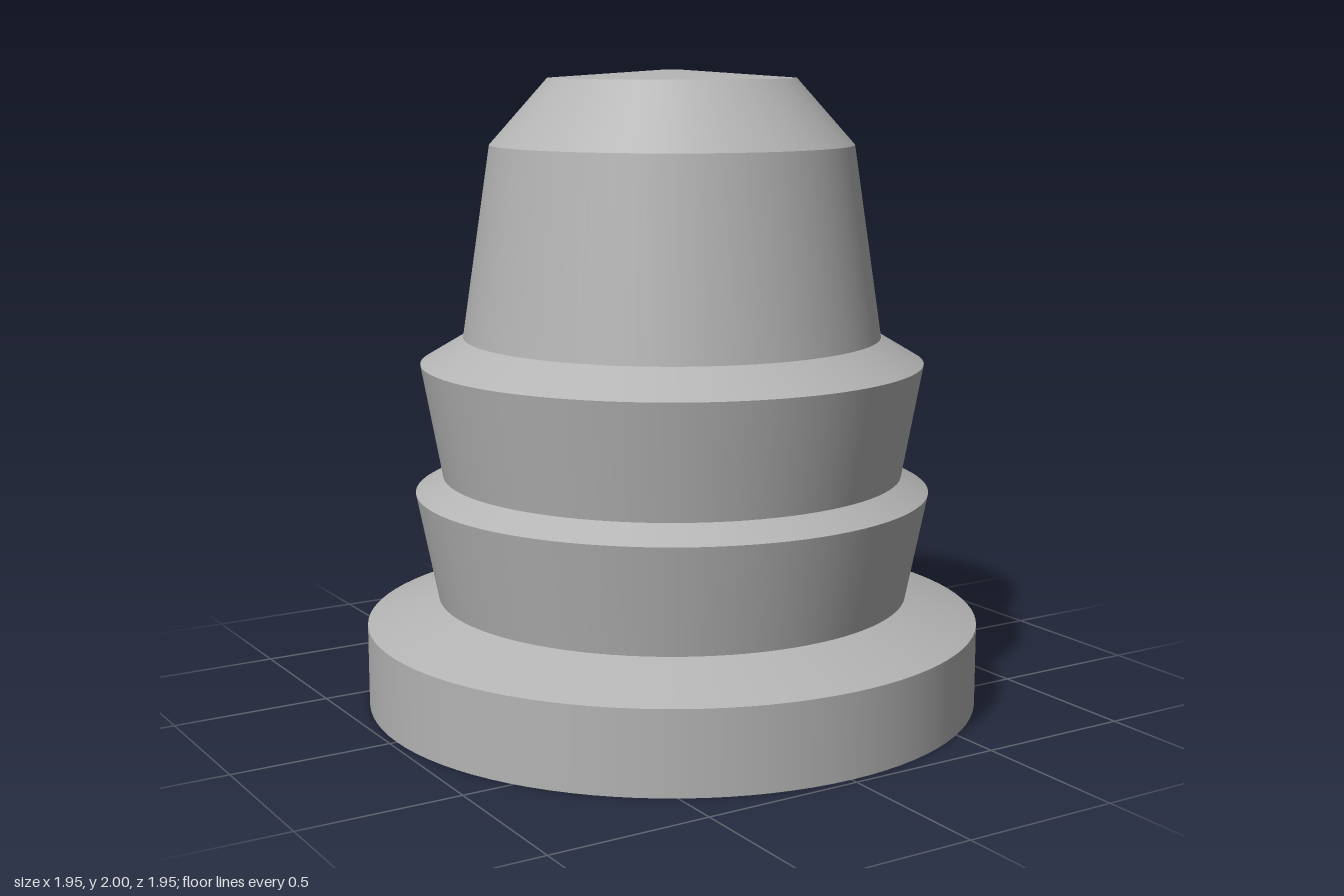
import * as THREE from 'three';
import { mergeGeometries } from 'three/addons/utils/BufferGeometryUtils.js';

const SIDES = 96;
const BORE = 0.025;

// Revolves each straight run of a [radius, height] profile on its own, so corners stay crisp
function turned(profile) {
  const bands = [];
  for (let i = 0; i < profile.length - 1; i++) {
    const ends = [profile[i], profile[i + 1]].map(([r, y]) => new THREE.Vector2(r, y));
    bands.push(new THREE.LatheGeometry(ends, SIDES));
  }
  return mergeGeometries(bands);
}

export function createModel() {
  const model = new THREE.Group();
  model.name = 'steppedPlug';
  const grey = new THREE.MeshStandardMaterial({ color: 0xb4b4b4 });
  grey.name = 'plainGrey';

  const parts = {
    // Wide foot with a shallow sloping shoulder
    baseFlange: [[BORE, 0], [0.977, 0], [0.977, 0.26], [0.75, 0.34]],
    // Two rings that flare upwards, each with a short sloping shoulder
    lowerRing: [[0.75, 0.34], [0.817, 0.68], [0.73, 0.73]],
    upperRing: [[0.73, 0.73], [0.795, 1.09], [0.66, 1.17]],
    // Tapered body, chamfer and almost flat cap
    nose: [[0.66, 1.17], [0.57, 1.77], [0.388, 1.975], [BORE, 2]],
    // Narrow hole running the full height
    bore: [[BORE, 2], [BORE, 0]],
  };

  for (const [name, profile] of Object.entries(parts)) {
    const mesh = new THREE.Mesh(turned(profile), grey);
    mesh.name = name;
    model.add(mesh);
  }
  return model;
}
